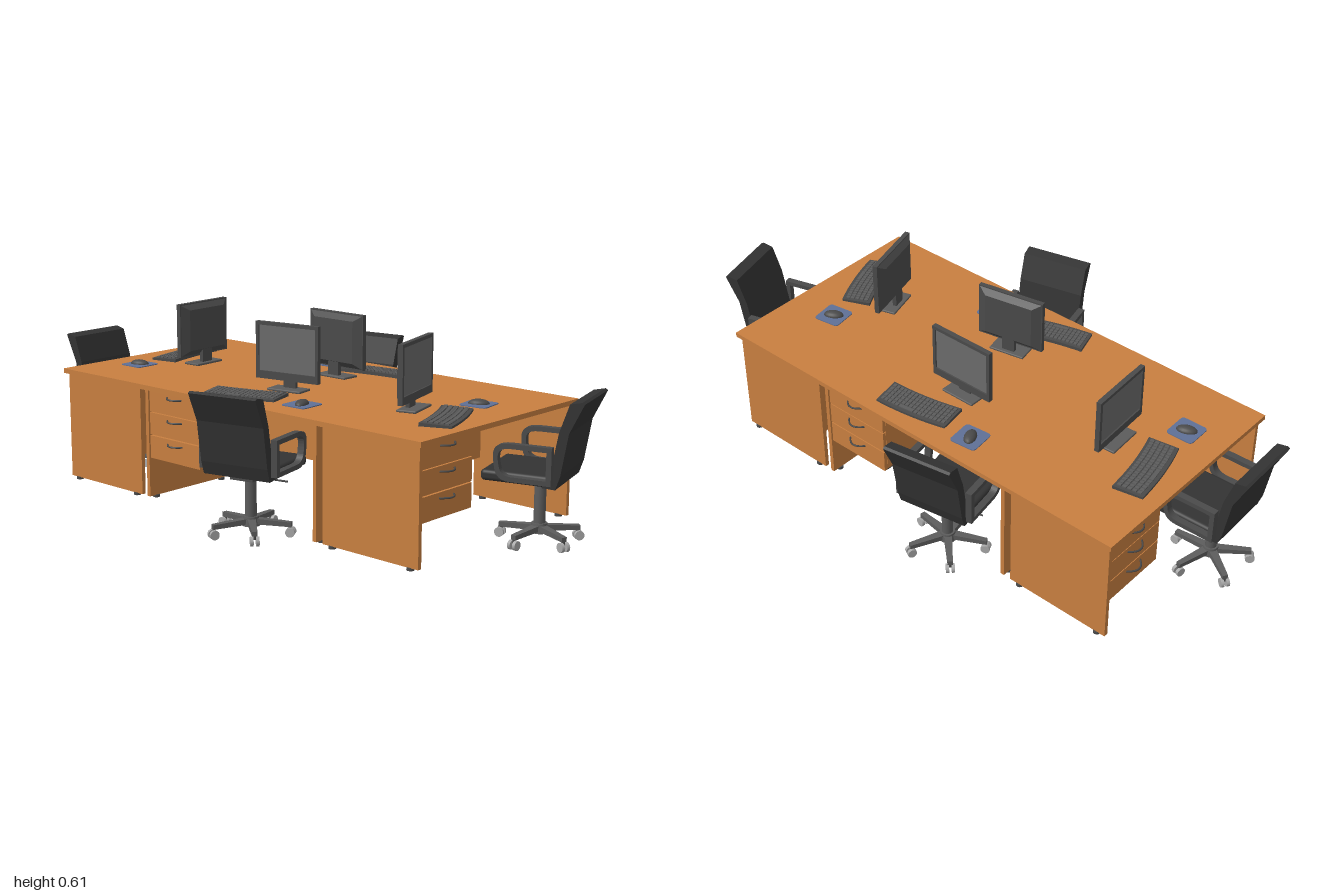
import * as THREE from 'three';
import { mergeGeometries } from 'three/addons/utils/BufferGeometryUtils.js';
import { RoundedBoxGeometry } from 'three/addons/geometries/RoundedBoxGeometry.js';

const mat = (color) => new THREE.MeshStandardMaterial({ color });
const M = {
  wood: mat(0xc87f40), dark: mat(0x4a4a4a), black: mat(0x333333), grey: mat(0x5c5c5c),
  screen: mat(0x6a6a6a), caster: mat(0xaaaaaa), pad: mat(0x5f7096),
};
const TOP = 0.387;              // desktop height
const W = 0.785, D = 0.393;     // desk length and depth

function add(parent, name, geo, material, x = 0, y = 0, z = 0) {
  const m = new THREE.Mesh(geo, material);
  m.name = name;
  m.position.set(x, y, z);
  parent.add(m);
  return m;
}
const box = (w, h, d) => new THREE.BoxGeometry(w, h, d);

function group(name, x = 0, y = 0, z = 0, turn = 0) {
  const g = new THREE.Group();
  g.name = name;
  g.position.set(x, y, z);
  g.rotation.y = turn;
  return g;
}

// Desk: the user sits on +z, the drawers are on -x
function makeDesk() {
  const g = group('desk');
  add(g, 'desktop', box(W, 0.016, D), M.wood, 0, TOP - 0.008, 0);
  for (const s of [-1, 1]) {
    add(g, 'sidePanel', box(0.014, 0.363, D - 0.026), M.wood, s * 0.373, 0.1895, 0);
    for (const z of [-0.15, 0.15])
      add(g, 'foot', new THREE.CylinderGeometry(0.012, 0.012, 0.009, 12), M.dark, s * 0.373, 0.0045, z);
  }
  add(g, 'modestyPanel', box(0.732, 0.231, 0.012), M.wood, 0, 0.2555, -0.165);
  const ped = group('drawerPedestal', -0.247, 0, 0);
  g.add(ped);
  add(ped, 'cabinet', box(0.236, 0.229, 0.26), M.wood, 0, 0.2565, 0.035);
  add(ped, 'cabinetBottom', box(0.236, 0.004, 0.26), M.dark, 0, 0.14, 0.035);
  [[0.333, 0.072], [0.257, 0.074], [0.178, 0.076]].forEach(([y, h]) => {
    add(ped, 'drawerFront', box(0.236, h, 0.012), M.wood, 0, y, 0.172);
    const bow = new THREE.QuadraticBezierCurve3(new THREE.Vector3(-0.034, 0, 0),
      new THREE.Vector3(0, 0, 0.044), new THREE.Vector3(0.034, 0, 0));
    add(ped, 'drawerHandle', new THREE.TubeGeometry(bow, 12, 0.003, 6), M.dark, 0, y + 0.021, 0.177);
  });
  return g;
}

// Swivel chair: the backrest is on +z, the origin is under the column
function makeChair() {
  const g = group('chair');
  // Five-legged base with twin-wheel casters
  for (let i = 0; i < 5; i++) {
    const leg = group('baseLeg', 0, 0, 0, (i * 2 * Math.PI) / 5 + Math.PI / 2);
    const taper = box(0.115, 0.018, 0.026);
    const p = taper.attributes.position;
    for (let k = 0; k < p.count; k++)
      if (p.getX(k) > 0) { p.setZ(k, p.getZ(k) * 0.65); p.setY(k, p.getY(k) * 0.8 - 0.006); }
    taper.computeVertexNormals();
    add(leg, 'legArm', taper, M.grey, 0.07, 0.045, 0);
    add(leg, 'casterStem', new THREE.CylinderGeometry(0.005, 0.005, 0.02, 8), M.dark, 0.122, 0.03, 0);
    for (const s of [-1, 1]) {
      const wheel = add(leg, 'casterWheel', new THREE.CylinderGeometry(0.015, 0.015, 0.01, 14), M.caster, 0.124, 0.015, s * 0.009);
      wheel.rotation.x = Math.PI / 2;
    }
    g.add(leg);
  }
  add(g, 'baseHub', new THREE.CylinderGeometry(0.024, 0.028, 0.03, 16), M.grey, 0, 0.045, 0);
  add(g, 'column', new THREE.CylinderGeometry(0.018, 0.018, 0.14, 16), M.grey, 0, 0.125, 0);
  add(g, 'tiltBox', box(0.08, 0.02, 0.11), M.dark, 0, 0.192, 0);
  const lever = add(g, 'heightLever', new THREE.CylinderGeometry(0.003, 0.003, 0.12, 6), M.dark, 0.07, 0.184, 0);
  lever.rotation.z = Math.PI / 2;
  add(g, 'seat', new RoundedBoxGeometry(0.225, 0.034, 0.235, 3, 0.012), M.black, 0, 0.217, -0.035);
  // Backrest: bent side profile (z, y) extruded across the width
  const back = new THREE.Shape([[0.04, 0.2], [0.082, 0.198], [0.096, 0.24], [0.118, 0.37],
    [0.162, 0.461], [0.154, 0.466], [0.118, 0.458], [0.088, 0.37], [0.066, 0.25]].map(([a, b]) => new THREE.Vector2(a, b)));
  const backGeo = new THREE.ExtrudeGeometry(back, { depth: 0.232, bevelEnabled: false });
  backGeo.rotateY(-Math.PI / 2).translate(0.116, 0, 0);
  add(g, 'backrest', backGeo, M.black);
  // Armrests: flat loops with a rounded front
  const loop = (P, z0, z1, y0, y1, r) => {
    const s = new P();
    s.moveTo(z1, y0);
    s.lineTo(z1, y1);
    s.lineTo(z0 + r, y1);
    s.bezierCurveTo(z0, y1, z0, y1 - r * 0.4, z0 + r * 0.2, y0 + r * 0.5);
    s.quadraticCurveTo(z0 + r * 0.35, y0, z0 + r, y0);
    s.lineTo(z1, y0);
    return s;
  };
  const arm = loop(THREE.Shape, -0.11, 0.075, 0.212, 0.327, 0.06);
  arm.holes.push(loop(THREE.Path, -0.094, 0.059, 0.227, 0.312, 0.048));
  const armGeo = new THREE.ExtrudeGeometry(arm, { depth: 0.022, bevelEnabled: false, curveSegments: 10 });
  armGeo.rotateY(-Math.PI / 2).translate(0.011, 0, 0);
  for (const s of [-1, 1]) add(g, 'armrest', armGeo, M.dark, s * 0.126, 0, 0);
  return g;
}

// Monitor: the screen faces +z, the origin is on the desktop
function makeMonitor() {
  const g = group('monitor');
  add(g, 'standBase', new RoundedBoxGeometry(0.125, 0.008, 0.065, 2, 0.003), M.grey, 0, 0.004, 0);
  add(g, 'standNeck', box(0.045, 0.08, 0.014), M.dark, 0, 0.045, -0.012);
  const frame = new THREE.Shape();
  frame.moveTo(-0.117, 0.033);
  [[0.117, 0.033], [0.117, 0.218], [-0.117, 0.218]].forEach(([x, y]) => frame.lineTo(x, y));
  const hole = new THREE.Path([[-0.106, 0.058], [-0.106, 0.207], [0.106, 0.207], [0.106, 0.058]]
    .map(([x, y]) => new THREE.Vector2(x, y)));
  frame.holes.push(hole);
  add(g, 'bezel', new THREE.ExtrudeGeometry(frame, { depth: 0.016, bevelEnabled: false }), M.dark, 0, 0, -0.004);
  add(g, 'display', box(0.214, 0.151, 0.01), M.screen, 0, 0.1325, 0.002);
  // Tapered rear housing
  const rear = box(0.226, 0.177, 0.016);
  const p = rear.attributes.position;
  for (let k = 0; k < p.count; k++)
    if (p.getZ(k) < 0) { p.setX(k, p.getX(k) * 0.75); p.setY(k, p.getY(k) * 0.8); }
  rear.computeVertexNormals();
  add(g, 'rearHousing', rear, M.dark, 0, 0.1255, -0.012);
  return g;
}

// Keyboard: wedge tray with rows of keys, slightly bowed
function makeKeyboard() {
  const g = group('keyboard');
  const bow = (geo) => {
    const p = geo.attributes.position;
    for (let k = 0; k < p.count; k++) {
      const x = p.getX(k), z = p.getZ(k);
      p.setY(k, p.getY(k) * (1 - z * 4));
      p.setZ(k, z + 0.008 * (1 - (x / 0.128) ** 2) - 0.004);
    }
    geo.computeVertexNormals();
    return geo;
  };
  add(g, 'keyTray', bow(new THREE.BoxGeometry(0.256, 0.009, 0.1, 12, 1, 1).translate(0, 0.0045, 0)), M.dark);
  const keys = [];
  for (let r = 0; r < 5; r++)
    for (let c = 0; c < 17; c++) {
      if (r === 4 && c > 4 && c < 9) continue;
      keys.push(box(0.0108, 0.005, 0.0125).translate((c - 8) * 0.0142, 0.0105, -0.034 + r * 0.0165));
    }
  keys.push(box(0.053, 0.005, 0.0125).translate(-0.0213, 0.0105, 0.032));
  add(g, 'keys', bow(mergeGeometries(keys)), M.grey);
  return g;
}

function makeMouse() {
  const g = group('mouseAndPad');
  const s = 0.047, r = 0.012, pad = new THREE.Shape();
  pad.absarc(s - r, s - r, r, 0, Math.PI / 2);
  pad.absarc(-s + r, s - r, r, Math.PI / 2, Math.PI);
  pad.absarc(-s + r, -s + r, r, Math.PI, Math.PI * 1.5);
  pad.absarc(s - r, -s + r, r, Math.PI * 1.5, Math.PI * 2);
  const geo = new THREE.ExtrudeGeometry(pad, { depth: 0.003, bevelEnabled: false, curveSegments: 4 });
  add(g, 'mousePad', geo.rotateX(-Math.PI / 2), M.pad);
  const body = new THREE.SphereGeometry(1, 16, 6, 0, Math.PI * 2, 0, Math.PI / 2).scale(0.02, 0.015, 0.034);
  add(g, 'mouse', body, M.dark, 0, 0.003, 0).rotation.y = 0.35;
  return g;
}

export function createModel() {
  const root = group('officeWorkstations');
  // One entry per workstation: [x, z, extra turn] for each item; turn faces the user
  const stations = [
    { name: 'front', turn: 0, desk: [-0.0245, 0.1715], chair: [0.135, 0.41, 0.24],
      monitor: [0.012, 0.112, 0.19], keyboard: [-0.035, 0.265, 0.3], mouse: [0.19, 0.24, 0.04] },
    { name: 'right', turn: Math.PI / 2, desk: [0.5645, -0.025], chair: [0.825, -0.13, 0.28],
      monitor: [0.48, 0.052, 0.28], keyboard: [0.633, 0.082, 0.4], mouse: [0.585, -0.135, 0.15] },
    { name: 'back', turn: Math.PI, desk: [-0.0245, -0.2215], chair: [-0.175, -0.41, 0.17],
      monitor: [-0.03, -0.167, 0], keyboard: [0.033, -0.308, 0.15], mouse: [-0.19, -0.315, 0.1] },
    { name: 'left', turn: -Math.PI / 2, desk: [-0.6135, -0.025], chair: [-0.838, 0.08, 0.03],
      monitor: [-0.533, -0.03, 0.06], keyboard: [-0.685, -0.08, 0.2], mouse: [-0.67, 0.145, 0.02] },
  ];
  const makers = { desk: makeDesk, chair: makeChair, monitor: makeMonitor, keyboard: makeKeyboard, mouse: makeMouse };
  for (const st of stations) {
    const g = group(st.name + 'Workstation');
    for (const [key, make] of Object.entries(makers)) {
      const [x, z, extra = 0] = st[key];
      const item = make();
      item.position.set(x, key === 'desk' || key === 'chair' ? 0 : TOP, z);
      item.rotation.y = st.turn + extra;
      g.add(item);
    }
    root.add(g);
  }
  return root;
}
